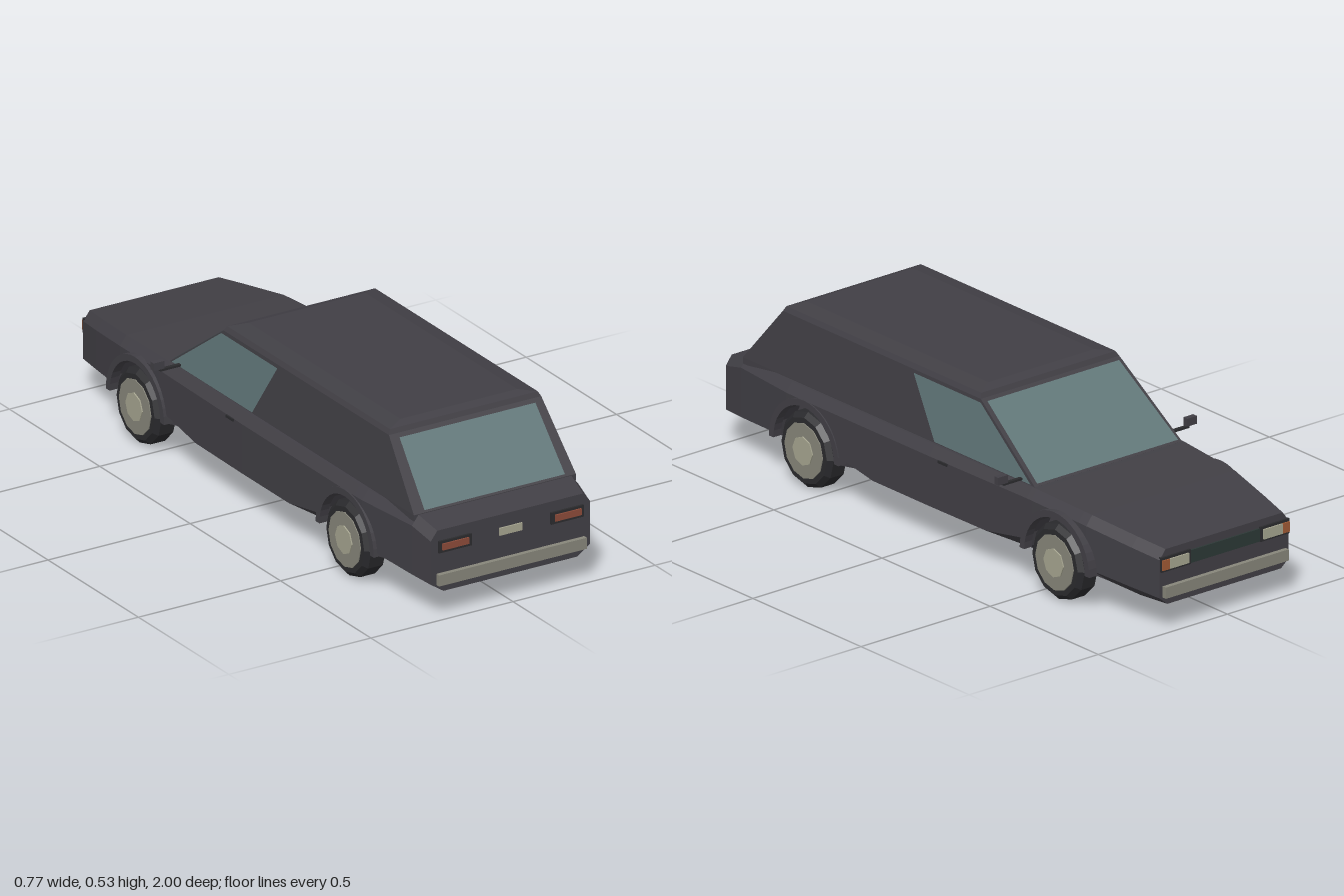
import * as THREE from 'three';

const mat = (name, color, extra = {}) => {
  const m = new THREE.MeshStandardMaterial({ color, flatShading: true, ...extra });
  m.name = name;
  return m;
};

// Piecewise linear lookup in a list of [key, value]
const lookup = (table, k) => {
  for (let i = 1; i < table.length; i++) {
    const [a, va] = table[i - 1], [b, vb] = table[i];
    if (k <= b) return va + (vb - va) * Math.max(0, (k - a) / (b - a));
  }
  return table[table.length - 1][1];
};

// Closed skin through rings of [x, y, z], capped at both ends
function loft(rings) {
  const pos = [], n = rings[0].length;
  const tri = (a, b, c) => pos.push(...a, ...b, ...c);
  for (let r = 0; r + 1 < rings.length; r++) {
    const A = rings[r], B = rings[r + 1];
    for (let i = 0; i < n; i++) {
      const j = (i + 1) % n;
      tri(A[i], A[j], B[j]);
      tri(A[i], B[j], B[i]);
    }
  }
  const first = rings[0], last = rings[rings.length - 1];
  for (let i = 1; i + 1 < n; i++) {
    tri(first[0], first[i + 1], first[i]);
    tri(last[0], last[i], last[i + 1]);
  }
  const g = new THREE.BufferGeometry();
  g.setAttribute('position', new THREE.Float32BufferAttribute(pos, 3));
  g.computeVertexNormals();
  return g;
}

// Flat four-cornered pane lifted slightly along an outward direction
function pane(corners, out) {
  const c = corners.map(p => p.map((v, i) => v + out[i] * 0.004));
  const g = new THREE.BufferGeometry();
  g.setAttribute('position', new THREE.Float32BufferAttribute(
    [c[0], c[1], c[2], c[0], c[2], c[3]].flat(), 3));
  g.computeVertexNormals();
  return g;
}

export function createModel() {
  const car = new THREE.Group();
  car.name = 'car';
  const paint = mat('body paint', 0x413f45);
  const rubber = mat('black rubber', 0x2b2b2e);
  const glass = mat('tinted glass', 0x617779, { side: THREE.DoubleSide });
  const metal = mat('dull metal', 0x87867a);
  const pale = mat('pale plate', 0xa6a590);
  const red = mat('tail lamp red', 0x8c4b39);
  const amber = mat('indicator amber', 0xa05a34);
  const grilleMat = mat('dark grille', 0x2c3836);

  const add = (name, geo, material, parent = car) => {
    const m = new THREE.Mesh(geo, material);
    m.name = name;
    parent.add(m);
    return m;
  };
  const box = (name, x0, x1, y0, y1, z0, z1, material) => add(name,
    new THREE.BoxGeometry(x1 - x0, y1 - y0, z1 - z0)
      .translate((x0 + x1) / 2, (y0 + y1) / 2, (z0 + z1) / 2), material);

  // Lower body: cross-sections along z, with the sill raised over each wheel
  const axles = [-0.585, 0.575], archR = 0.148, hubY = 0.12;
  const widths = [[-0.985, 0.25], [-0.88, 0.27], [-0.7, 0.3], [-0.45, 0.312],
    [0, 0.318], [0.65, 0.318], [0.9, 0.292], [0.985, 0.28]];
  const tops = [[-0.985, 0.262], [-0.7, 0.298], [-0.45, 0.31], [0.9, 0.308], [0.985, 0.285]];
  const section = (z, archY) => {
    const w = lookup(widths, z), top = lookup(tops, z);
    const under = Math.min(0.235, w - 0.03);
    const sill = archY ?? lookup([[-0.985, 0.11], [-0.74, 0.13], [-0.43, 0.15],
      [-0.26, 0.12], [0.26, 0.12], [0.43, 0.15], [0.73, 0.13], [0.985, 0.115]], z);
    const half = [[under, 0.085], [under, archY ?? 0.085], [w, sill],
      [w, top - 0.03], [w - 0.023, top]];
    const other = half.map(([x, y]) => [-x, y]).reverse();
    return [...half, ...other].map(([x, y]) => [x, y, z]);
  };
  const rings = [section(-0.985), section(-0.88)];
  for (const zc of axles) {
    rings.push(section(zc - archR));
    for (let i = 0; i <= 10; i++) {
      const a = Math.PI * (1 - i / 10);
      rings.push(section(zc + archR * Math.cos(a), hubY + archR * Math.sin(a)));
    }
    rings.push(section(zc + archR));
    if (zc < 0) rings.push(section(-0.26), section(0), section(0.26));
  }
  rings.push(section(0.9), section(0.985));
  add('lowerBody', loft(rings), paint);

  // Cabin: belt, roof edge and crowned roof
  const level = (y, x, zr, zf) => [[-x, y, zr], [x, y, zr], [x, y, zf], [-x, y, zf]];
  add('cabin', loft([
    level(0.29, 0.285, 0.9, -0.45), level(0.31, 0.285, 0.9, -0.45),
    level(0.505, 0.268, 0.735, -0.18), level(0.52, 0.26, 0.728, -0.172),
    level(0.53, 0.205, 0.7, -0.14)]), paint);

  // Glass lies on the sloping cabin faces
  const up = y => (y - 0.31) / 0.195;
  const rearZ = y => 0.9 - 0.165 * up(y);
  const frontZ = y => -0.45 + 0.27 * up(y);
  const sideX = y => 0.285 - 0.017 * up(y);
  add('rearWindow', pane([[-0.247, 0.315, rearZ(0.315)], [0.247, 0.315, rearZ(0.315)],
    [0.239, 0.493, rearZ(0.493)], [-0.239, 0.493, rearZ(0.493)]], [0, 0.65, 0.76]), glass);
  add('windscreen', pane([[0.273, 0.314, frontZ(0.314)], [-0.273, 0.314, frontZ(0.314)],
    [-0.255, 0.496, frontZ(0.496)], [0.255, 0.496, frontZ(0.496)]], [0, 0.81, -0.58]), glass);

  // Parts repeated on both sides
  for (const s of [1, -1]) {
    const side = s > 0 ? 'left' : 'right';
    const sx = (name, x0, x1, ...rest) =>
      box(side + name, Math.min(s * x0, s * x1), Math.max(s * x0, s * x1), ...rest);

    const outline = [[0.01, 0.314], [-0.435, 0.314], [-0.185, 0.496], [0.125, 0.496]];
    const corners = outline.map(([z, y]) => [s * sideX(y), y, z]);
    add(side + 'Window', pane(s > 0 ? corners : corners.reverse(), [s, 0, 0]), glass);

    sx('DoorHandle', 0.312, 0.322, 0.272, 0.28, -0.085, -0.045, rubber);
    sx('MirrorStalk', 0.285, 0.36, 0.317, 0.324, -0.396, -0.384, rubber);
    sx('Mirror', 0.347, 0.385, 0.325, 0.35, -0.4, -0.382, paint);

    // Tail lamps, headlamps and indicators
    sx('TailLampSurround', 0.14, 0.255, 0.213, 0.251, 0.98, 0.992, rubber);
    sx('TailLamp', 0.152, 0.244, 0.222, 0.243, 0.985, 0.997, red);
    sx('HeadlampSurround', 0.135, 0.248, 0.193, 0.24, -0.992, -0.98, rubber);
    sx('Headlamp', 0.145, 0.217, 0.2, 0.232, -0.997, -0.985, pale);
    sx('Indicator', 0.219, 0.246, 0.2, 0.232, -0.997, -0.97, amber);

    for (const zc of axles) {
      const end = zc > 0 ? 'Rear' : 'Front';

      // Flared lip around the arch
      const lip = new THREE.Shape();
      lip.absarc(0, 0, 0.161, 0, Math.PI, false);
      lip.absarc(0, 0, 0.14, Math.PI, 0, true);
      const lipGeo = new THREE.ExtrudeGeometry(lip,
        { depth: 0.03, bevelEnabled: false, curveSegments: 10 });
      lipGeo.rotateY(Math.PI / 2).translate(s > 0 ? 0.292 : -0.322, hubY, zc);
      add(side + end + 'ArchLip', lipGeo, paint);

      // Wheel: chamfered tyre, rim and centre cap, axis along x
      const wheel = new THREE.Group();
      wheel.name = side + end + 'Wheel';
      const profile = [[0, 0.238], [0.1, 0.238], [0.12, 0.254], [0.12, 0.305],
        [0.105, 0.32], [0, 0.32]].map(p => new THREE.Vector2(...p));
      const disc = (r, x, n) => new THREE.CylinderGeometry(r, r, 0.02, n)
        .translate(0, x - 0.01, 0).rotateZ(-Math.PI / 2);
      add('tyre', new THREE.LatheGeometry(profile, 12).rotateZ(-Math.PI / 2), rubber, wheel);
      add('rim', disc(0.088, 0.323, 12), metal, wheel);
      add('centreCap', disc(0.046, 0.327, 8), pale, wheel);
      wheel.position.set(0, hubY, zc);
      if (s < 0) wheel.rotation.y = Math.PI;
      car.add(wheel);
    }
  }

  // Bumpers, plate and grille
  box('rearBumper', -0.26, 0.26, 0.11, 0.146, 0.975, 1, metal);
  box('frontBumper', -0.238, 0.238, 0.11, 0.146, -1, -0.975, metal);
  box('rearPlate', -0.04, 0.04, 0.219, 0.243, 0.982, 0.99, pale);
  box('grille', -0.133, 0.133, 0.195, 0.236, -0.991, -0.982, grilleMat);
  return car;
}
